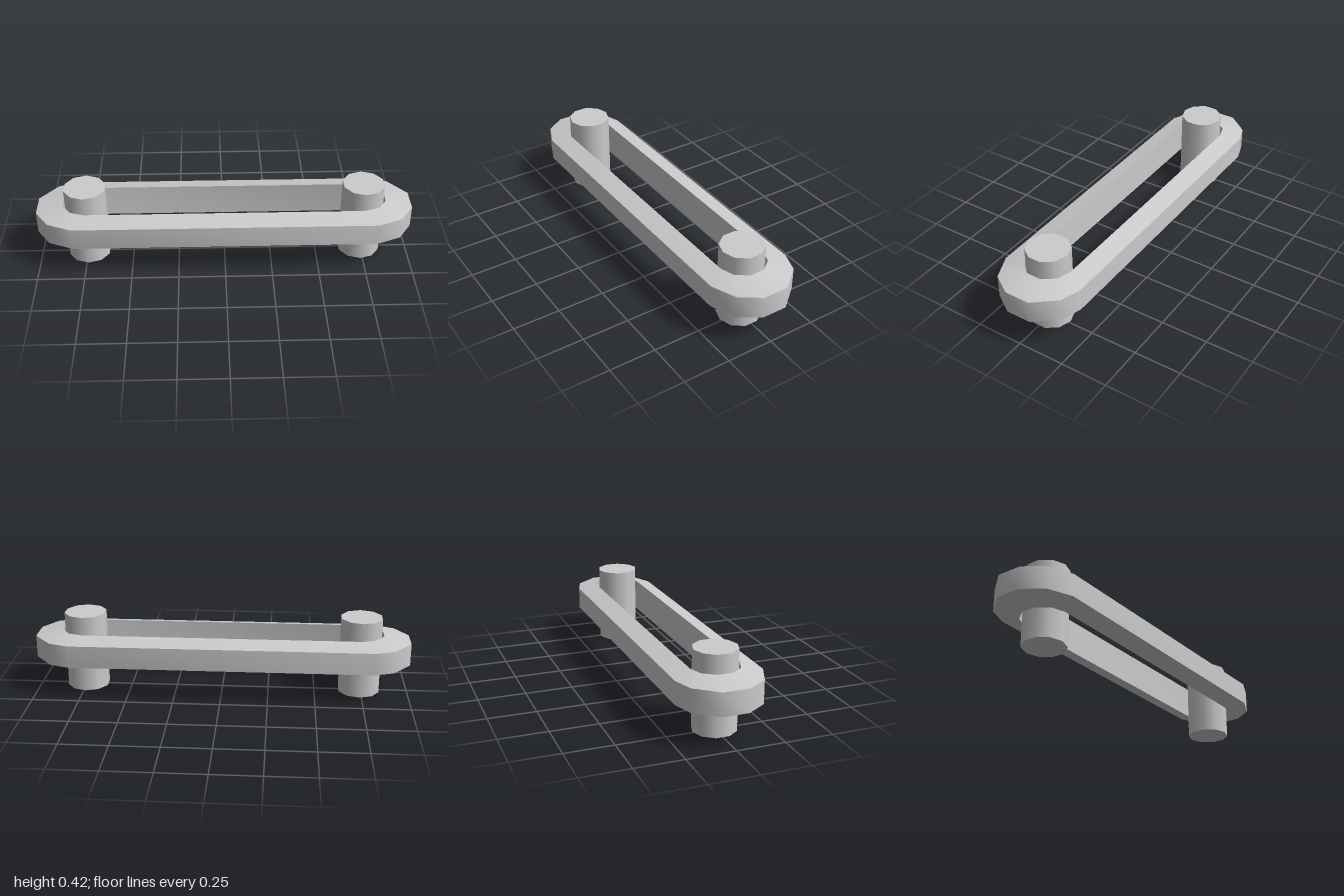
import * as THREE from 'three';
import { toCreasedNormals } from 'three/addons/utils/BufferGeometryUtils.js';

const PIN_X = 0.74;
const material = new THREE.MeshStandardMaterial({ color: 0xcccccc });

// Closed outline: the right end from back to front, then its mirror image
function mirroredLoop(end) {
  return [...end, ...end.map(([x, z]) => [-x, z]).reverse()];
}

// Elongated link: a four-cornered section swept between the inner and outer outlines
function linkGeometry() {
  const innerEnd = [-90, -54, -18, 18, 54, 90].map((deg) => {
    const a = THREE.MathUtils.degToRad(deg);
    return [PIN_X + 0.126 * Math.cos(a), 0.126 * Math.sin(a) - 0.002];
  });
  const outerEnd = [[0.8, -0.225], [0.905, -0.19], [1, -0.075], [1, 0.06], [0.93, 0.165], [0.8, 0.22]];
  const inner = mirroredLoop(innerEnd);
  const outer = mirroredLoop(outerEnd);
  const n = inner.length;

  const positions = [];
  const indices = [];
  for (let i = 0; i < n; i++) {
    const section = [[inner[i], 0.325], [outer[i], 0.298], [outer[i], 0.178], [inner[i], 0.151]];
    for (const [[x, z], y] of section) positions.push(x, y, z);
    for (let k = 0; k < 4; k++) {
      const next = ((i + 1) % n) * 4;
      const k2 = (k + 1) % 4;
      const a = i * 4 + k, b = next + k, c = next + k2, d = i * 4 + k2;
      indices.push(a, b, d, b, c, d);
    }
  }
  const geometry = new THREE.BufferGeometry();
  geometry.setAttribute('position', new THREE.Float32BufferAttribute(positions, 3));
  geometry.setIndex(indices);
  return toCreasedNormals(geometry, 0.8);
}

export function createModel() {
  const model = new THREE.Group();
  model.name = 'chainLink';

  const link = new THREE.Mesh(linkGeometry(), material);
  link.name = 'linkPlate';
  model.add(link);

  // Ten-sided pins at both ends
  const pinGeometry = new THREE.CylinderGeometry(0.113, 0.113, 0.417, 10);
  for (const [side, name] of [[1, 'leftPin'], [-1, 'rightPin']]) {
    const pin = new THREE.Mesh(pinGeometry, material);
    pin.name = name;
    pin.position.set(side * PIN_X, 0.2085, 0);
    model.add(pin);
  }
  return model;
}
